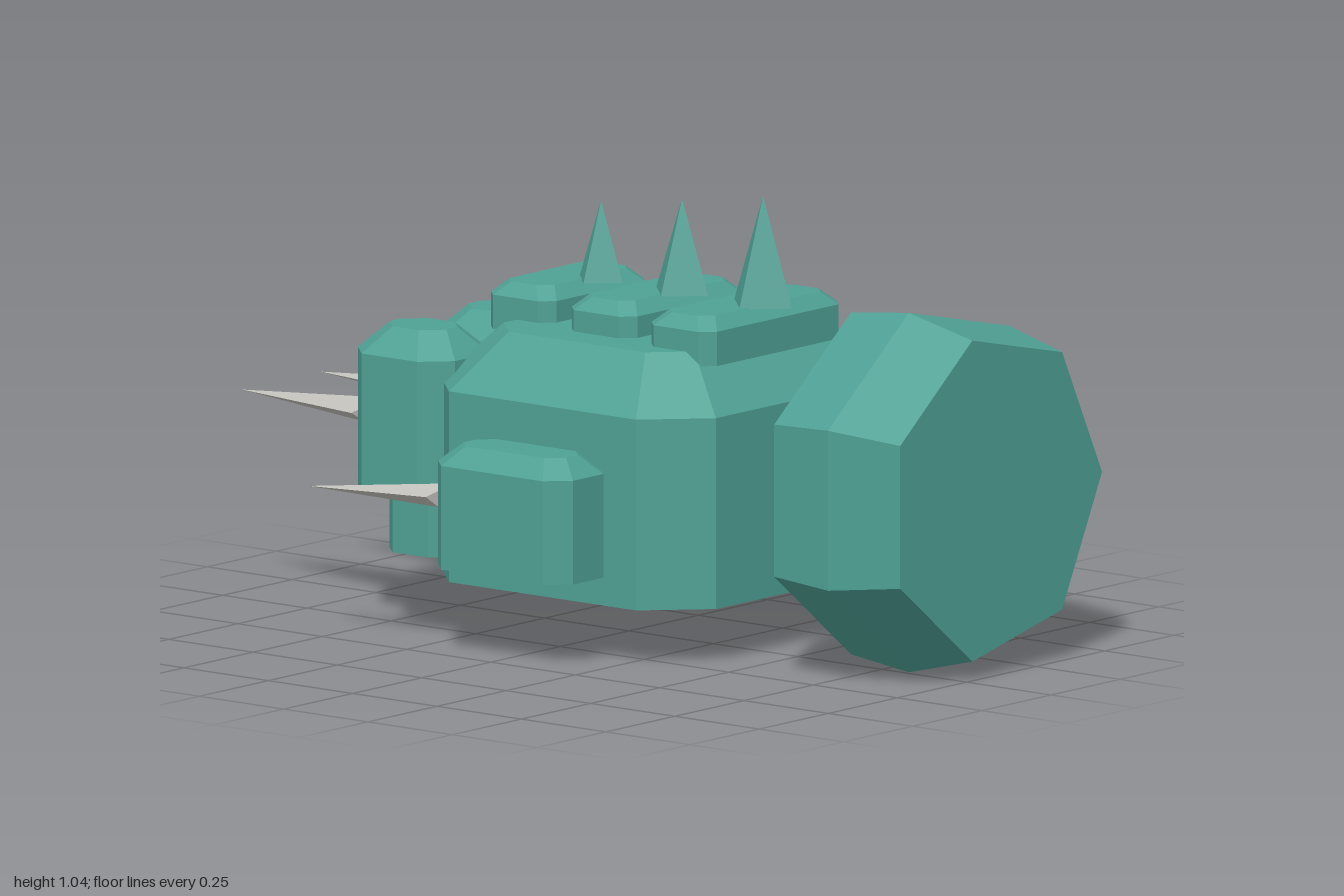
import * as THREE from 'three';
import { ConvexGeometry } from 'three/addons/geometries/ConvexGeometry.js';

const teal = new THREE.MeshStandardMaterial({ color: 0x4fa094 });
teal.name = 'teal';
const bone = new THREE.MeshStandardMaterial({ color: 0xc4c2bc });
bone.name = 'bone';

const v = (x, y, z) => new THREE.Vector3(x, y, z);

// Every part is a faceted convex solid with flat face normals
function solid(name, points, material = teal) {
  const mesh = new THREE.Mesh(new ConvexGeometry(points), material);
  mesh.name = name;
  return mesh;
}

// Rectangle with cut corners at height y
function octagon(x0, x1, z0, z1, cut, y) {
  const points = [];
  for (const [x, sx] of [[x0, 1], [x1, -1]]) {
    for (const [z, sz] of [[z0, 1], [z1, -1]]) {
      points.push(v(x + sx * cut, y, z), v(x, y, z + sz * cut));
    }
  }
  return points;
}

// Block with cut corners, upright walls and a bevelled top
function block(name, [x0, x1], [z0, z1], [yBase, yWall, yTop], cut, inset, topCut = cut) {
  return solid(name, [
    ...octagon(x0, x1, z0, z1, cut, yBase),
    ...octagon(x0, x1, z0, z1, cut, yWall),
    ...octagon(x0 + inset, x1 - inset, z0 + inset, z1 - inset, topCut, yTop),
  ]);
}

// Flattened four-sided claw with a twisted base
function claw(name, base, tip, r) {
  const points = [tip];
  for (const s of [1, -1]) {
    points.push(v(base.x + s * r, base.y - s * 0.006, base.z));
    points.push(v(base.x + s * r * 0.36, base.y + s * 0.024, base.z));
  }
  return solid(name, points, bone);
}

export function createModel() {
  const group = new THREE.Group();
  group.name = 'clawedFist';
  const cx = 0.106;

  // Hand
  group.add(block('palm', [-0.335, 0.547], [-0.39, 0.425], [0.135, 0.58, 0.71], 0.13, 0.125, 0.08));

  // Seven-sided forearm cuff, bulging in the middle
  const cuff = [];
  for (const [z, r] of [[0.645, 0.409], [0.82, 0.43], [1, 0.384]]) {
    for (let i = 0; i < 7; i++) {
      const a = (i / 7) * Math.PI * 2;
      cuff.push(v(cx + r * Math.cos(a), 0.4225 + r * Math.sin(a), z));
    }
  }
  group.add(solid('forearmCuff', cuff));

  // Armour bars with a spike each: centre z, half width, spike radius, spike tip
  for (const [z, w, r, tip] of [[0.257, 0.25, 0.086, 1.04], [-0.004, 0.22, 0.077, 1.005], [-0.268, 0.19, 0.064, 0.972]]) {
    group.add(block('armourBar', [cx - w, cx + w], [z - 0.097, z + 0.097], [0.68, 0.76, 0.79], 0.03, 0.03));
    const sz = z === 0.257 ? 0.31 : z === -0.004 ? 0.07 : -0.17;
    group.add(solid('backSpike', [
      v(cx, tip, sz),
      v(cx + r, 0.787, sz), v(cx - r, 0.787, sz),
      v(cx, 0.787, sz + r), v(cx, 0.787, sz - r),
    ]));
  }

  // Fingers with folded lower joints and claws
  for (const x of [-0.18, 0.106, 0.395]) {
    group.add(block('finger', [x - 0.125, x + 0.125], [-0.605, -0.317], [0.308, 0.63, 0.69], 0.062, 0.06, 0.045));
    group.add(block('lowerFinger', [x - 0.115, x + 0.115], [-0.505, -0.31], [0.175, 0.325, 0.36], 0.045, 0.045, 0.03));
    group.add(claw('fingerClaw', v(x, 0.473, -0.603), v(x, 0.473, -1), 0.09));
  }

  // Thumb
  group.add(block('thumb', [-0.515, -0.305], [-0.185, 0.215], [0.205, 0.447, 0.49], 0.05, 0.048, 0.035));
  group.add(claw('thumbClaw', v(-0.44, 0.362, -0.183), v(-0.55, 0.362, -0.5), 0.072));

  return group;
}
